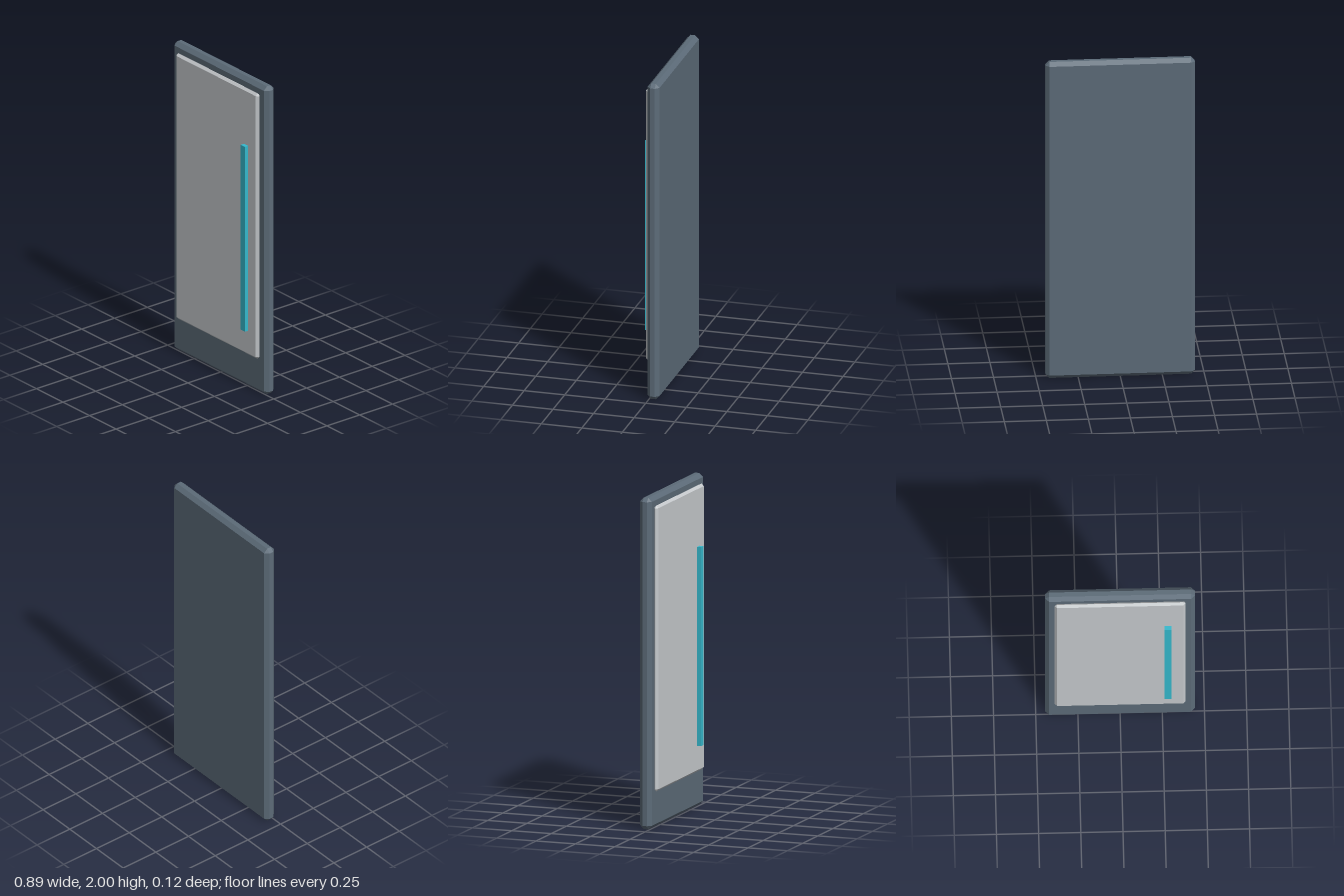
import * as THREE from 'three';
import { ConvexGeometry } from 'three/addons/geometries/ConvexGeometry.js';

const frameSlate = new THREE.MeshStandardMaterial({ color: 0x5c6b78 });
frameSlate.name = 'frameSlate';
const panelGrey = new THREE.MeshStandardMaterial({ color: 0xc6cacd });
panelGrey.name = 'panelGrey';
const handleCyan = new THREE.MeshStandardMaterial({ color: 0x35b8cc });
handleCyan.name = 'handleCyan';

// Box with every edge and corner cut flat: each face is inset by c
function chamferedBox(w, h, d, c) {
  const half = [w / 2, h / 2, d / 2];
  const points = [];
  for (const sx of [-1, 1]) for (const sy of [-1, 1]) for (const sz of [-1, 1]) {
    const sign = [sx, sy, sz];
    for (let face = 0; face < 3; face++) {
      points.push(new THREE.Vector3(...half.map((v, i) => sign[i] * (i === face ? v : v - c))));
    }
  }
  return new ConvexGeometry(points);
}

function addPart(group, name, geometry, material, x, y, z) {
  const mesh = new THREE.Mesh(geometry, material);
  mesh.name = name;
  mesh.position.set(x, y, z);
  group.add(mesh);
}

export function createModel() {
  const model = new THREE.Group();
  model.name = 'door';

  // Heavy backing slab
  addPart(model, 'doorFrame', chamferedBox(0.888, 2, 0.074, 0.023), frameSlate, 0, 1, -0.025);

  // Thin raised panel, leaving a kick plate below
  addPart(model, 'frontPanel', chamferedBox(0.776, 1.724, 0.03, 0.0145), panelGrey, 0, 1.085, 0.021);

  // Long upright handle on the model's left
  addPart(model, 'handle', new THREE.BoxGeometry(0.04, 1.2, 0.026), handleCyan, 0.283, 0.985, 0.048);

  return model;
}
